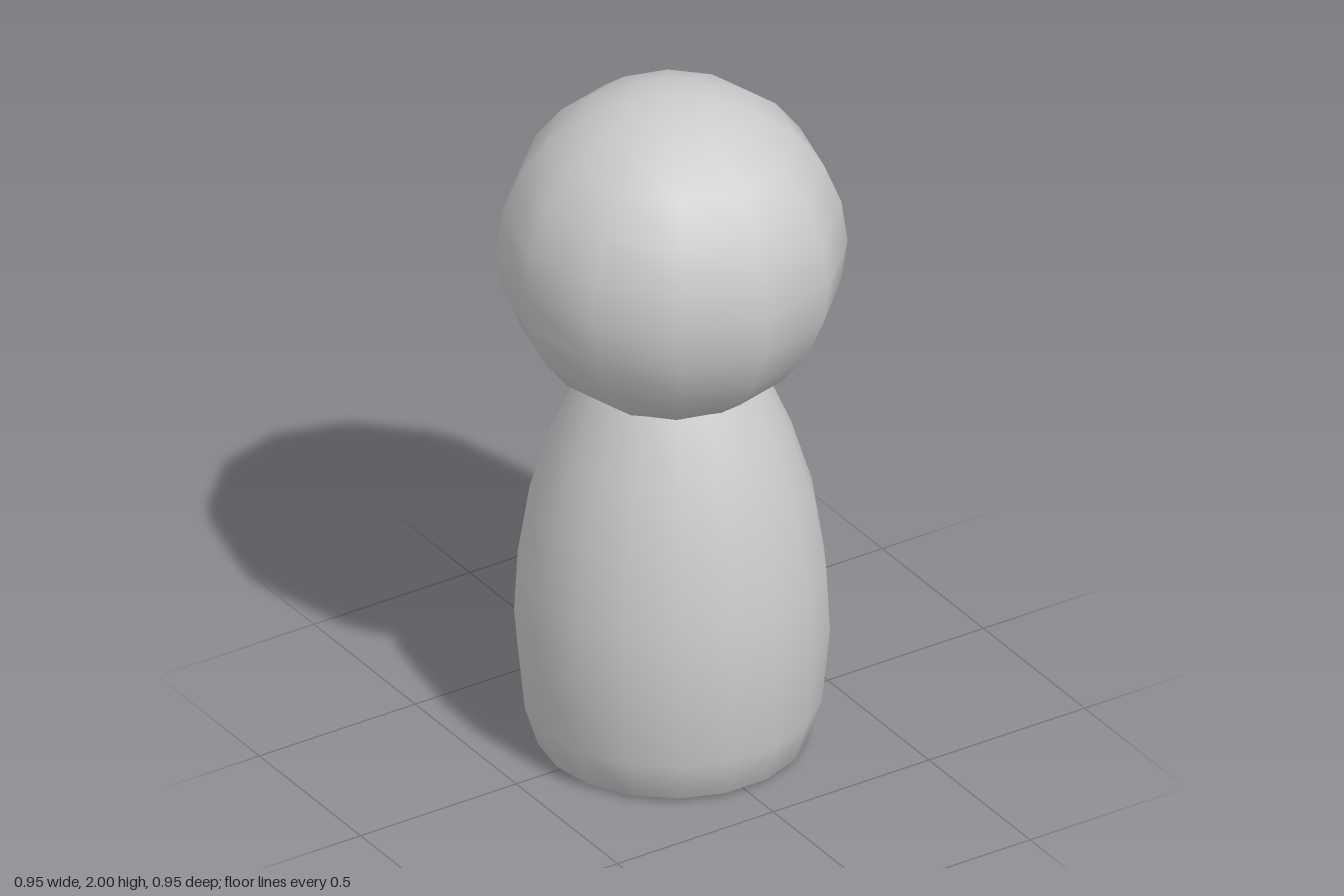
import * as THREE from 'three';

export function createModel() {
  const group = new THREE.Group();
  const material = new THREE.MeshStandardMaterial({ color: 0xcccccc });
  const add = (name, geometry) => {
    const mesh = new THREE.Mesh(geometry, material);
    mesh.name = name;
    group.add(mesh);
    return mesh;
  };

  // Ball head, resting over the neck of the body
  const radius = 0.473;
  add('head', new THREE.SphereGeometry(radius, 12, 12)).position.y = 2 - radius;

  // Turned body: bevelled foot, full belly, narrow neck running into the head
  const sides = 18;
  const footRadius = 0.335;
  const profile = [
    [footRadius, 0], [0.37, 0.012], [0.407, 0.13], [0.4286, 0.35], [0.419, 0.535],
    [0.386, 0.745], [0.328, 0.935], [0.247, 1.125], [0.17, 1.25],
  ].map(([r, y]) => new THREE.Vector2(r, y));
  add('body', new THREE.LatheGeometry(profile, sides).rotateY(Math.PI / 2));

  // Flat underside
  add('base', new THREE.CircleGeometry(footRadius, sides).rotateX(Math.PI / 2));

  return group;
}
